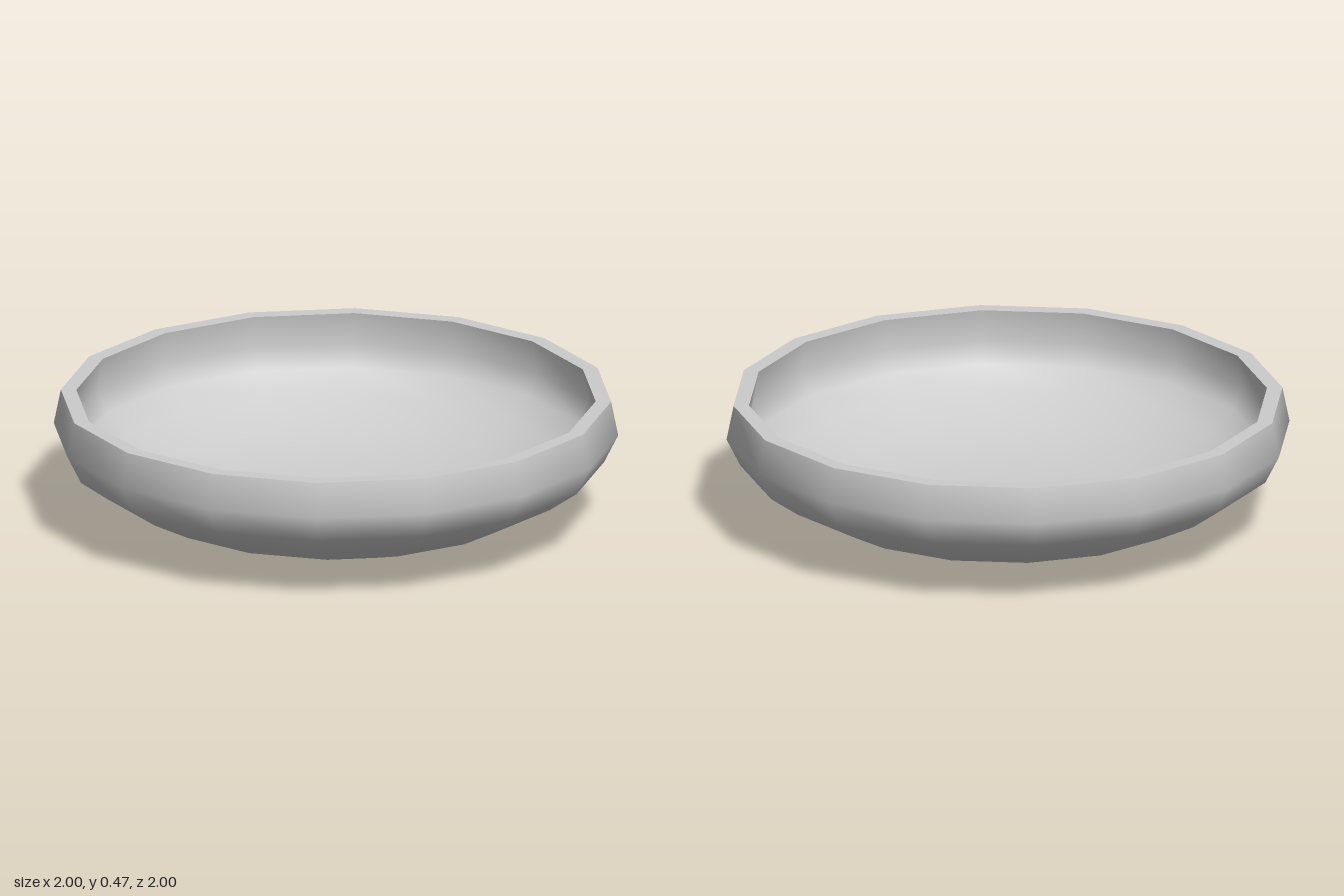
import * as THREE from 'three';

const SIDES = 16;

// Smooth surface of revolution from [radius, height] pairs
function turned(name, profile, material) {
  const points = profile.map(([r, y]) => new THREE.Vector2(r, y));
  const mesh = new THREE.Mesh(new THREE.LatheGeometry(points, SIDES), material);
  mesh.name = name;
  return mesh;
}

export function createModel() {
  const group = new THREE.Group();
  group.name = 'bowl';
  const material = new THREE.MeshStandardMaterial({ color: 0xcccccc });

  // Outer shell, from the centre of the base up to the rim
  const outer = [[0, 0], [0.44, 0], [0.69, 0.085], [0.845, 0.165], [0.95, 0.24], [1, 0.34], [0.975, 0.465]];
  // Inner shell, from the rim down to the centre of the floor
  const inner = [[0.92, 0.465], [0.94, 0.345], [0.9, 0.27], [0.81, 0.205], [0.67, 0.135], [0.43, 0.055], [0, 0.055]];

  group.add(
    turned('outerShell', outer, material),
    turned('rim', [outer[outer.length - 1], inner[0]], material), // flat lip with sharp edges
    turned('innerShell', inner, material)
  );
  return group;
}
